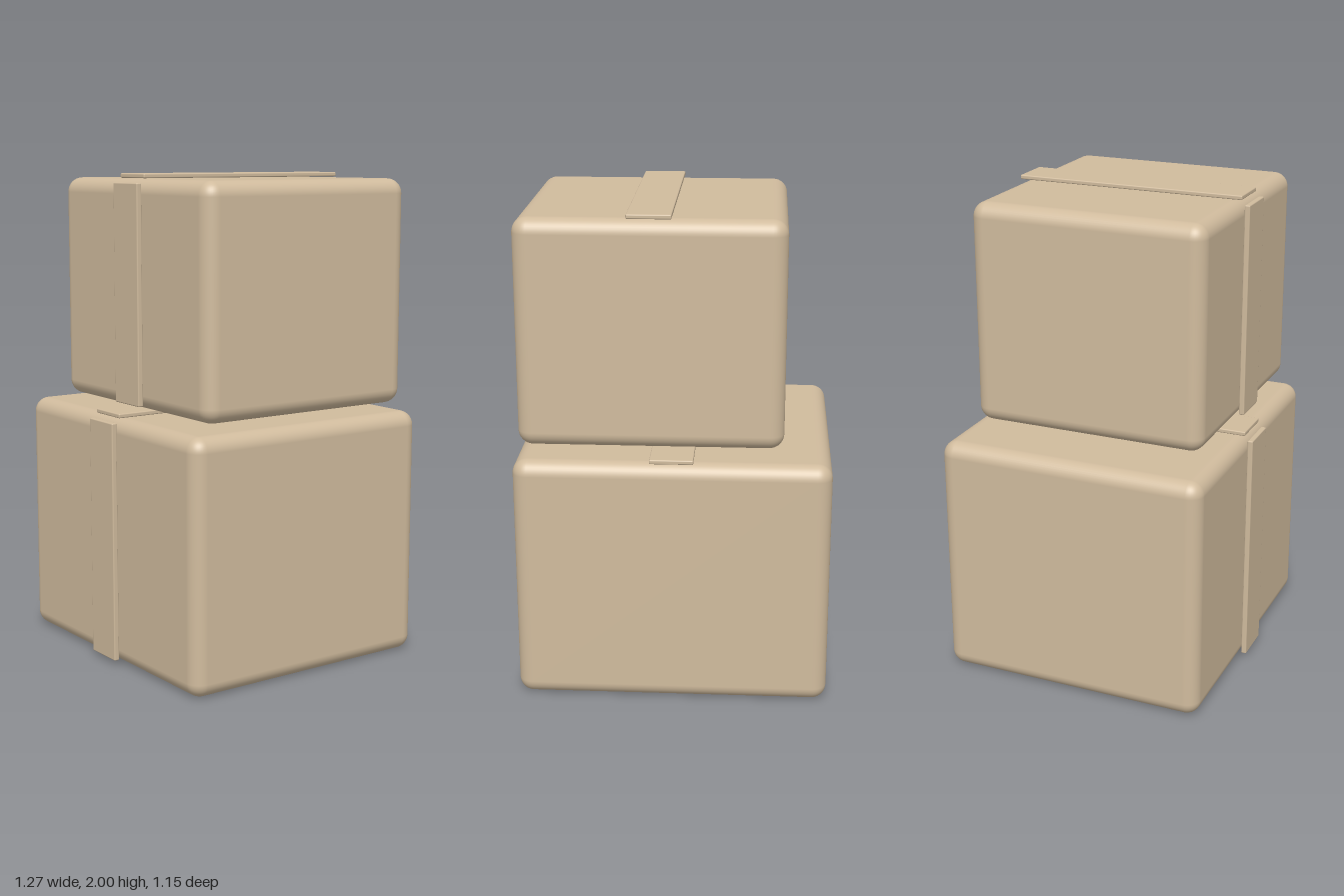
import * as THREE from 'three';
import { RoundedBoxGeometry } from 'three/addons/geometries/RoundedBoxGeometry.js';

const cardboard = new THREE.MeshStandardMaterial({ color: 0xd0bb9d });
cardboard.name = 'cardboard';

// Rounded block given by its lower and upper corners
function block(name, min, max, radius, segments) {
  const size = max.map((v, i) => v - min[i]);
  const mesh = new THREE.Mesh(new RoundedBoxGeometry(...size, segments, radius), cardboard);
  mesh.position.set(...max.map((v, i) => (v + min[i]) / 2));
  mesh.name = name;
  return mesh;
}

// A carton with one tape strip along the lid and one down the front
function carton(name, { min, max, tapeX }) {
  const group = new THREE.Group();
  group.name = name;
  const [x0, x1] = [tapeX - 0.087, tapeX + 0.087];
  group.add(
    block('cartonBody', min, max, 0.06, 5),
    block('lidTape', [x0, max[1] + 0.003, min[2] + 0.006], [x1, max[1] + 0.021, max[2] - 0.009], 0.005, 2),
    block('frontTape', [x0, min[1] + 0.018, max[2] + 0.002], [x1, max[1] - 0.015, max[2] + 0.025], 0.005, 2),
  );
  return group;
}

export function createModel() {
  const model = new THREE.Group();
  model.name = 'stackedCartons';
  model.add(
    carton('lowerCarton', { min: [-0.634, 0, -0.577], max: [0.634, 1.025, 0.552], tapeX: 0 }),
    carton('upperCarton', { min: [-0.441, 1.064, -0.506], max: [0.616, 1.979, 0.481], tapeX: 0.088 }),
  );
  return model;
}
